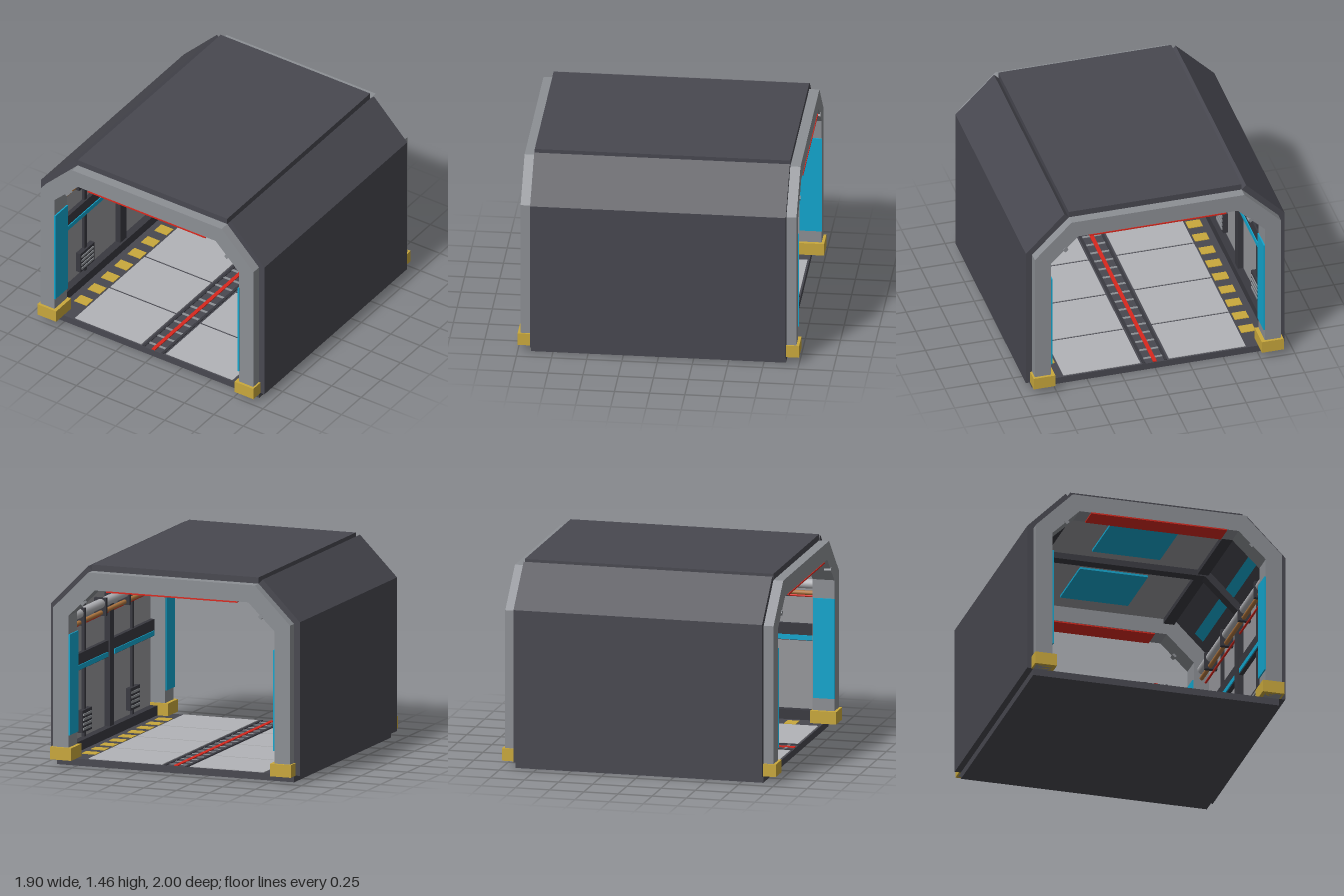
import * as THREE from 'three';

const mat = (name, color) => {
  const m = new THREE.MeshStandardMaterial({ color });
  m.name = name;
  return m;
};

export function createModel() {
  const hull = mat('dark hull', 0x484850);
  const rib = mat('rib grey', 0x393940);
  const frame = mat('frame grey', 0x8c8f94);
  const panel = mat('wall panel grey', 0x96979b);
  const plate = mat('light plate grey', 0xb2b3b7);
  const yellow = mat('hazard yellow', 0xc9a83c);
  const cyan = mat('light cyan', 0x12a6ce);
  const red = mat('signal red', 0xd8281e);
  const copper = mat('copper', 0xb0763f);

  const model = new THREE.Group();
  model.name = 'corridorModule';

  const add = (name, geo, material, x = 0, y = 0, z = 0) => {
    const mesh = new THREE.Mesh(geo, material);
    mesh.name = name;
    mesh.position.set(x, y, z);
    model.add(mesh);
    return mesh;
  };
  // Box given by its limits on each axis
  const block = (name, material, x0, x1, y0, y1, z0, z1) =>
    add(name, new THREE.BoxGeometry(Math.abs(x1 - x0), y1 - y0, Math.abs(z1 - z0)), material,
      (x0 + x1) / 2, (y0 + y1) / 2, (z0 + z1) / 2);
  // Cross-section in x and y, extruded from z0 to z1
  const prism = (name, material, points, z0, z1) => {
    const shape = new THREE.Shape(points.map(([x, y]) => new THREE.Vector2(x, y)));
    const geo = new THREE.ExtrudeGeometry(shape, { depth: z1 - z0, bevelEnabled: false });
    return add(name, geo, material, 0, 0, z0);
  };
  // Mirrored arch outline from a right-hand outer and inner profile
  const arch = (outer, inner) => {
    const flip = (pts) => pts.map(([x, y]) => [-x, y]);
    return [...outer, ...flip(outer).reverse(), ...flip(inner), ...[...inner].reverse()];
  };
  const outer = [[0.905, 0.05], [0.905, 1.14], [0.635, 1.41]];

  // Outer shell
  block('floorSlab', hull, -0.905, 0.905, 0, 0.05, -0.905, 0.905);
  block('roofPanel', hull, -0.635, 0.635, 1.41, 1.455, -0.908, 0.908);
  for (const s of [-1, 1]) {
    prism('sideWall', hull, [[0.905, 0.05], [0.95, 0.05], [0.95, 1.155], [0.905, 1.14]]
      .map(([x, y]) => [s * x, y]), -0.908, 0.908);
    prism('slopedRoofPanel', hull, [[0.905, 1.14], [0.95, 1.155], [0.667, 1.442], [0.635, 1.41]]
      .map(([x, y]) => [s * x, y]), -0.908, 0.908);
  }

  // End frames with feet, lights and warning strip
  const endArch = arch(outer, [[0.785, 0.05], [0.785, 1.09], [0.585, 1.285]]);
  for (const e of [-1, 1]) {
    prism('endFrame', frame, endArch, e > 0 ? 0.82 : -0.98, e > 0 ? 0.98 : -0.82);
    block('warningStrip', red, -0.5, 0.5, 1.276, 1.286, e * 0.825, e * 0.985);
    for (const s of [-1, 1]) {
      block('foot', yellow, s * 0.758, s * 0.918, 0.05, 0.14, e * 0.81, e);
      block('frameLight', cyan, s * 0.775, s * 0.786, 0.23, 0.955, e * 0.825, e * 0.984);
      const knob = add('frameFixture', new THREE.BoxGeometry(0.028, 0.028, 0.05), frame,
        s * 0.68, 1.188, e * 0.96);
      knob.rotation.z = Math.PI / 4;
    }
  }

  // Centre rib and ceiling
  prism('centreRib', rib, arch(outer, [[0.855, 0.05], [0.855, 1.12], [0.615, 1.355]]), -0.04, 0.04);
  block('ceilingPanel', panel, -0.6, 0.6, 1.4, 1.409, -0.82, 0.82);
  for (const e of [-1, 1]) {
    block('ceilingLight', cyan, -0.25, 0.25, 1.385, 1.4, e * 0.15, e * 0.65);
  }

  // Interior fittings on both sides
  for (const s of [-1, 1]) {
    block('wallPanel', panel, s * 0.896, s * 0.904, 0.05, 1.13, -0.82, 0.82);
    block('ceilingBeam', rib, s * 0.56, s * 0.64, 1.365, 1.402, -0.82, 0.82);
    block('kerb', rib, s * 0.84, s * 0.9, 0.05, 0.12, -0.82, 0.82);
    block('wallBand', rib, s * 0.865, s * 0.9, 0.62, 0.74, -0.82, 0.82);
    for (const e of [-1, 1]) {
      block('wallStud', rib, s * 0.875, s * 0.9, 0.05, 1.13, e * 0.435, e * 0.465);
      block('bandLight', cyan, s * 0.858, s * 0.866, 0.625, 0.66, e * 0.06, e * 0.8);
      // Light strip lying on the sloped panel
      const strip = add('slopeLight', new THREE.BoxGeometry(0.08, 0.012, 0.66), cyan,
        s * 0.795, 1.243, e * 0.385);
      strip.rotation.z = -s * Math.PI / 4;
      // Vent with slats
      block('ventFrame', rib, s * 0.86, s * 0.9, 0.16, 0.32, e * 0.36, e * 0.54);
      for (let i = 0; i < 4; i++) {
        const y = 0.178 + i * 0.034;
        block('ventSlat', frame, s * 0.854, s * 0.861, y, y + 0.016, e * 0.375, e * 0.525);
      }
    }
    // Pipes and their clamps
    for (const [name, m, r, x, y] of [['mainPipe', plate, 0.034, 0.845, 1.04],
      ['copperPipe', copper, 0.016, 0.842, 0.975], ['thinRedPipe', red, 0.008, 0.872, 0.945]]) {
      add(name, new THREE.CylinderGeometry(r, r, 1.66, 16), m, s * x, y, 0).rotation.x = Math.PI / 2;
    }
    for (const z of [-0.62, -0.22, 0.22, 0.62]) {
      block('pipeClamp', rib, s * 0.805, s * 0.9, 0.952, 1.08, z - 0.016, z + 0.016);
    }
    // Floor plates and hazard marks
    for (let i = 0; i < 4; i++) {
      const z = -0.9 + i * 0.45;
      block('floorPlate', plate, s * 0.105, s * 0.67, 0.049, 0.055, z + 0.008, z + 0.442);
    }
    for (let i = -4; i <= 4; i++) {
      block('hazardMark', yellow, s * 0.685, s * 0.79, 0.049, 0.055, i * 0.17 - 0.043, i * 0.17 + 0.043);
    }
    block('trackRail', rib, s * 0.07, s * 0.09, 0.049, 0.056, -0.9, 0.9);
  }

  // Central track
  for (let i = -8; i <= 8; i++) {
    block('trackTie', frame, -0.07, 0.07, 0.049, 0.053, i * 0.105 - 0.01, i * 0.105 + 0.01);
  }
  block('guideLine', red, -0.014, 0.014, 0.049, 0.057, -0.9, 0.9);

  return model;
}
